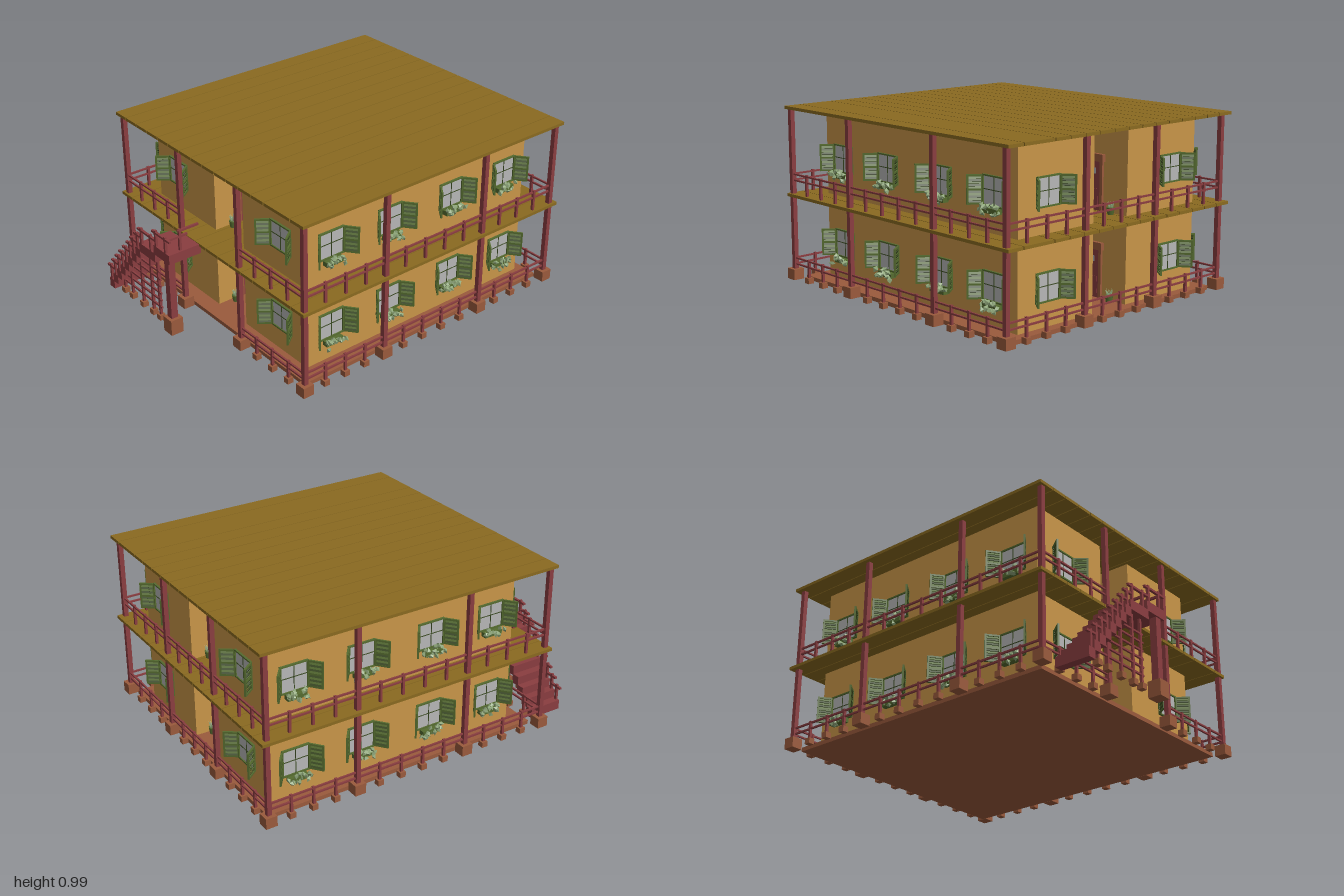
import * as THREE from 'three';

const mat = (name, color, extra = {}) => {
  const m = new THREE.MeshStandardMaterial({ color, ...extra });
  m.name = name;
  return m;
};

export function createModel() {
  const M = {
    wall: mat('ochre wall', 0xc89548),
    plank: mat('olive planks', 0x8a6a20),
    red: mat('red timber', 0x8a3d40),
    brick: mat('brick', 0x9a5a3c),
    green: mat('shutter green', 0x556b2f),
    dark: mat('dark green', 0x3a4a22),
    glass: mat('window glass', 0xb6b6b6),
    leaf: mat('pale leaf', 0x8fa77a),
  };
  const house = new THREE.Group();
  house.name = 'house';

  const group = (parent, name) => {
    const g = new THREE.Group();
    g.name = name;
    parent.add(g);
    return g;
  };
  const mesh = (parent, name, geo, m, x, y, z) => {
    const o = new THREE.Mesh(geo, m);
    o.name = name;
    o.position.set(x, y, z);
    parent.add(o);
    return o;
  };
  const box = (parent, name, m, w, h, d, x, y, z) =>
    mesh(parent, name, new THREE.BoxGeometry(w, h, d), m, x, y, z);
  // box given by its minimum and maximum corners
  const span = (parent, name, m, x0, x1, y0, y1, z0, z1) =>
    box(parent, name, m, x1 - x0, y1 - y0, z1 - z0, (x0 + x1) / 2, (y0 + y1) / 2, (z0 + z1) / 2);
  let seed = 7;
  const rand = () => (seed = (seed * 16807) % 2147483647) / 2147483647;

  // Ground slab and the two wings with an open passage between them
  span(house, 'groundSlab', M.brick, -0.745, 0.745, 0.005, 0.028, -0.94, 0.735);
  span(house, 'leftWing', M.wall, 0.12, 0.645, 0.02, 0.976, -0.885, 0.645);
  span(house, 'rightWing', M.wall, -0.66, -0.13, 0.02, 0.976, -0.885, 0.645);

  // Planked upper floor and roof
  const pitch = 1.645 / 16;
  [['upperFloor', 0.483, 0.5], ['roof', 0.974, 0.991]].forEach(([name, y0, y1]) => {
    const deck = group(house, name);
    for (let i = 0; i < 16; i++) {
      const x0 = -0.825 + i * pitch;
      span(deck, 'plank', M.plank, x0, x0 + pitch - (i === 13 ? 0 : 0.005), y0, y1, -1, 0.8);
    }
  });

  // Posts on brick footings
  const px = [-0.79, -0.265, 0.255, 0.79], pz = [-0.96, -0.435, 0.25, 0.775];
  const posts = group(house, 'posts');
  px.forEach((x, i) => pz.forEach((z, j) => {
    if (i % 3 && j % 3) return;
    box(posts, 'post', M.red, 0.026, 0.95, 0.026, x, 0.5, z);
    box(posts, 'footing', M.brick, 0.065, 0.06, 0.065, x, 0.039, z);
  }));

  // Railing between two points, with n bays
  const railing = (x0, z0, x1, z1, n, ground) => {
    const g = group(house, ground ? 'groundRailing' : 'balconyRailing');
    const base = ground ? 0.01 : 0.5, top = ground ? 0.135 : 0.615;
    const alongX = Math.abs(x1 - x0) > 0.01;
    const len = alongX ? Math.abs(x1 - x0) : Math.abs(z1 - z0);
    for (const y of [top - 0.005, top - 0.039]) {
      box(g, 'rail', M.red, alongX ? len : 0.01, 0.009, alongX ? 0.01 : len, (x0 + x1) / 2, y, (z0 + z1) / 2);
    }
    for (let i = 1; i < n; i++) {
      const x = x0 + (x1 - x0) * i / n, z = z0 + (z1 - z0) * i / n;
      span(g, 'baluster', M.red, x - 0.007, x + 0.007, base, top + 0.004, z - 0.007, z + 0.007);
      if (ground) box(g, 'balusterFoot', M.brick, 0.035, 0.032, 0.035, x, 0.022, z);
    }
  };
  for (const ground of [true, false]) {
    for (let i = 0; i < 3; i++) {
      if (i !== 1) railing(px[i], pz[3], px[i + 1], pz[3], 4, ground);
      railing(px[i], pz[0], px[i + 1], pz[0], 4, ground);
      for (const x of [px[0], px[3]]) railing(x, pz[i], x, pz[i + 1], i === 1 ? 5 : 4, ground);
    }
  }

  // Window facing +z with louvred shutters, optionally with a flower box
  const makeWindow = (x, y, z, turn, flowers) => {
    const g = group(house, 'window');
    g.position.set(x, y, z);
    g.rotation.y = turn;
    box(g, 'glass', M.glass, 0.15, 0.142, 0.006, 0, 0, 0.002);
    for (const s of [-1, 1]) {
      box(g, 'frameSide', M.green, 0.008, 0.156, 0.014, s * 0.077, 0, 0.005);
      box(g, 'frameEnd', M.green, 0.154, 0.008, 0.014, 0, s * 0.074, 0.005);
      const sh = group(g, 'shutter');
      sh.position.set(s * 0.079, 0, 0.006);
      sh.rotation.y = -s * 0.915;
      for (const e of [0.005, 0.077]) box(sh, 'stile', M.green, 0.01, 0.15, 0.01, s * e, 0, 0);
      for (const e of [-0.07, 0, 0.07]) box(sh, 'shutterRail', M.green, 0.064, 0.01, 0.01, s * 0.041, e, 0);
      for (let i = 0; i < 10; i++) {
        const slat = box(sh, 'slat', i % 2 ? M.green : M.dark, 0.064, 0.015, 0.003, s * 0.041,
          (i < 5 ? -0.059 : 0.011) + (i % 5) * 0.012, 0);
        slat.rotation.x = -0.5;
      }
    }
    box(g, 'verticalBar', M.dark, 0.004, 0.142, 0.005, 0, 0, 0.005);
    box(g, 'horizontalBar', M.dark, 0.15, 0.004, 0.005, 0, 0.005, 0.005);
    if (!flowers) return;
    box(g, 'flowerBox', M.green, 0.11, 0.026, 0.035, 0, -0.092, 0.022);
    for (let i = 0; i < 14; i++) {
      const leaf = mesh(g, 'foliage', new THREE.OctahedronGeometry(0.02), M.leaf,
        -0.058 + i * 0.009, -0.085 + (rand() - 0.5) * 0.05, 0.025 + rand() * 0.035);
      leaf.scale.set(1, 0.8, 0.6);
      leaf.rotation.set(rand() * 3, rand() * 3, rand() * 3);
    }
  };
  for (const y of [0.235, 0.712]) {
    for (const x of [-0.46, 0.445]) {
      makeWindow(x, y, 0.645, 0, false);
      makeWindow(x, y, -0.885, Math.PI, false);
    }
    for (const z of [0.49, 0.1, -0.33, -0.725]) {
      makeWindow(0.645, y, z, Math.PI / 2, true);
      makeWindow(-0.66, y, z, -Math.PI / 2, true);
    }
  }

  // Doors and potted plants along the passage, built facing +z
  const makeDoor = (x, y, z, turn) => {
    const g = group(house, 'door');
    g.position.set(x, y, z);
    g.rotation.y = turn;
    box(g, 'doorLeaf', M.red, 0.15, 0.27, 0.008, 0, 0.135, 0.003);
    for (const s of [-1, 1]) {
      box(g, 'jamb', M.brick, 0.018, 0.27, 0.014, s * 0.082, 0.135, 0.006);
      box(g, 'doorPanel', M.red, 0.05, 0.09, 0.006, s * 0.035, 0.07, 0.007);
      box(g, 'doorPane', M.glass, 0.025, 0.03, 0.004, s * 0.03, 0.21, 0.007);
    }
    box(g, 'lintel', M.brick, 0.2, 0.04, 0.022, 0, 0.283, 0.01);
  };
  const makePot = (x, y, z) => {
    const g = group(house, 'pottedPlant');
    g.position.set(x, y, z);
    mesh(g, 'pot', new THREE.CylinderGeometry(0.022, 0.016, 0.038, 8), M.green, 0, 0.019, 0);
    for (let i = 0; i < 8; i++) {
      const a = i * Math.PI / 4;
      const leaf = mesh(g, 'leaf', new THREE.ConeGeometry(0.008, 0.04, 4), M.leaf,
        Math.cos(a) * 0.013, 0.053, Math.sin(a) * 0.013);
      leaf.rotation.set(Math.sin(a) * 0.4, 0, -Math.cos(a) * 0.4);
    }
  };
  for (const y of [0.028, 0.5]) {
    for (const z of [0.41, -0.63]) {
      makeDoor(-0.13, y, z, Math.PI / 2);
      makeDoor(0.12, y, z, -Math.PI / 2);
    }
    for (const z of [0.555, -0.8]) {
      makePot(-0.1, y, z);
      makePot(0.093, y, z);
    }
  }

  // Outside stairs: narrow steps, a wide step and a landing, with a stepped handrail
  const stairs = group(house, 'stairs');
  const step = (x0, x1, top) => {
    span(stairs, 'step', M.red, x0, x1 + 0.004, top - 0.055, top, 0.79, 0.99);
    span(stairs, 'handrail', M.red, x0 - 0.012, x1 + 0.012, top + 0.075, top + 0.087, 0.976, 0.99);
    for (let x = x0 + 0.02; x < x1; x += 0.09) {
      span(stairs, 'stairBaluster', M.red, x - 0.007, x + 0.007, top - 0.01, top + 0.095, 0.976, 0.99);
    }
  };
  const run = 0.044, rise = 0.0487;
  for (let i = 0; i < 8; i++) step(-0.712 + i * run, -0.712 + (i + 1) * run, 0.06 + i * rise);
  step(-0.36, -0.21, 0.446);
  step(-0.215, -0.07, 0.496);
  span(stairs, 'landingRail', M.red, -0.09, -0.078, 0.605, 0.617, 0.79, 0.92);
  span(stairs, 'landingRail', M.red, -0.09, -0.078, 0.572, 0.584, 0.86, 0.99);
  span(stairs, 'landingBaluster', M.red, -0.091, -0.077, 0.49, 0.62, 0.9, 0.914);

  // Landing post and the slatted supports below the flight
  span(stairs, 'landingPost', M.red, -0.13, -0.09, 0.05, 0.45, 0.942, 0.982);
  span(stairs, 'landingFooting', M.brick, -0.145, -0.07, 0, 0.09, 0.925, 1);
  for (const x of [-0.6, -0.52, -0.41, -0.31, -0.24]) {
    const top = Math.min(0.4, 0.03 + (x + 0.712) / run * rise);
    span(stairs, 'support', M.red, x - 0.007, x + 0.007, 0.01, top, 0.948, 0.962);
    box(stairs, 'supportFoot', M.brick, 0.034, 0.032, 0.034, x, 0.022, 0.955);
  }
  for (let i = 1; i < 7; i++) {
    const y = 0.04 + i * 0.045;
    span(stairs, 'supportRail', M.red, -0.69 + y / rise * run, -0.22, y - 0.005, y + 0.005, 0.95, 0.96);
  }
  return house;
}
